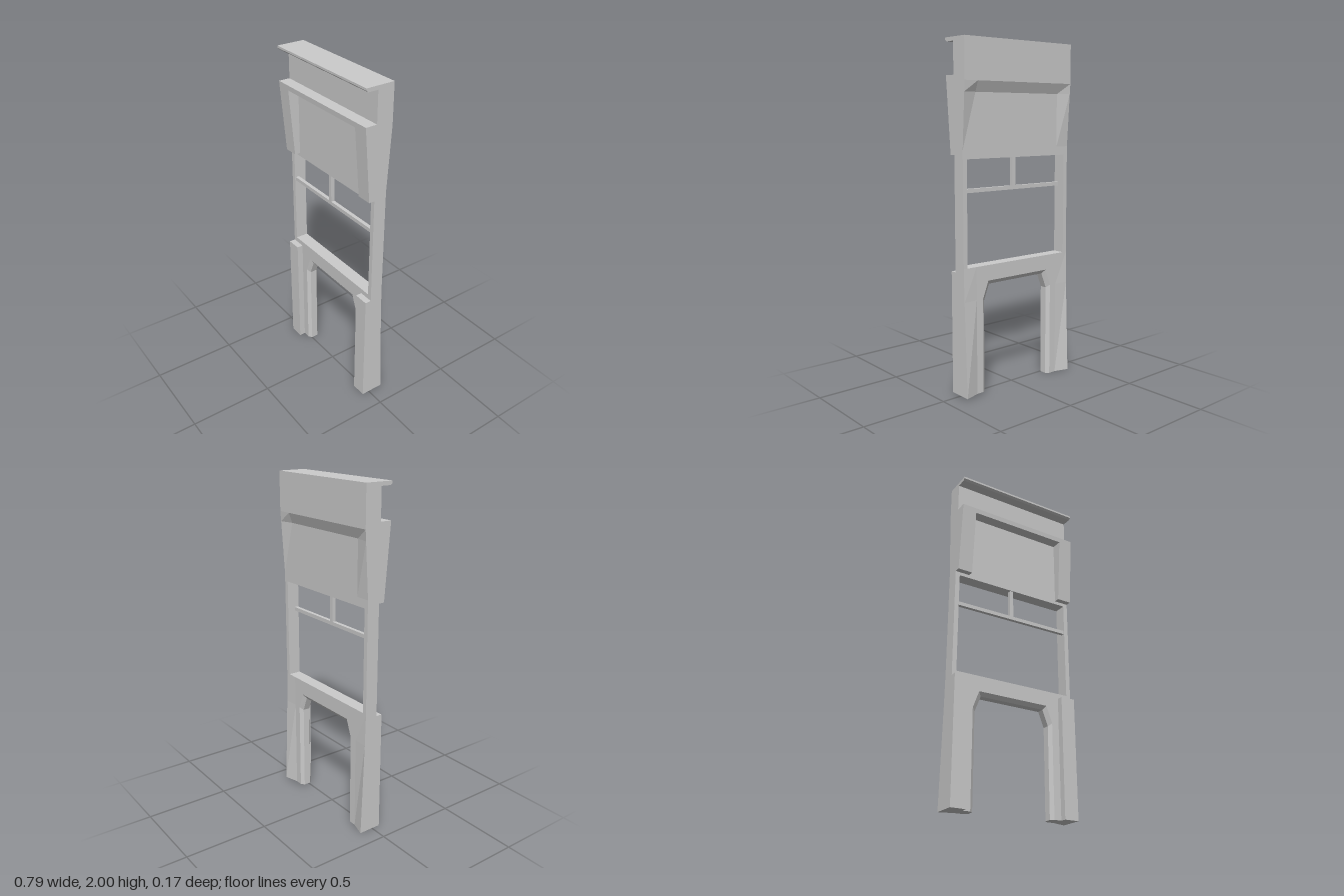
import * as THREE from 'three';

const FRONT = 0.016, BACK = -0.06, HALF = 0.394, INNER = 0.305;

export function createModel() {
  const group = new THREE.Group();
  const mat = new THREE.MeshStandardMaterial({ color: 0xcccccc, flatShading: true });
  const add = (name, geo) => {
    const mesh = new THREE.Mesh(geo, mat);
    mesh.name = name;
    group.add(mesh);
  };
  // box given by its limits
  const box = (name, x0, x1, y0, y1, z0, z1) => add(name,
    new THREE.BoxGeometry(x1 - x0, y1 - y0, z1 - z0)
      .translate((x0 + x1) / 2, (y0 + y1) / 2, (z0 + z1) / 2));
  // side profile of [z, y] points, run across from x0 to x1
  const profile = (name, pts, x0, x1) => {
    const shape = new THREE.Shape(pts.map(([z, y]) => new THREE.Vector2(z, y)));
    add(name, new THREE.ExtrudeGeometry(shape, { depth: x1 - x0, bevelEnabled: false })
      .rotateY(-Math.PI / 2).translate(x1, 0, 0));
  };

  add('archedBase', archedBase());
  add('upperWall', upperWall());

  // window frame and its bars
  box('windowBar', -0.37, 0.37, 1.16, 1.182, -0.012, 0.01);
  box('windowMullion', -0.021, 0.001, 1.18, 1.36, -0.012, 0.01);

  // mirrored side parts
  for (const s of [-1, 1]) {
    const span = (a, b) => (s > 0 ? [a, b] : [-b, -a]);
    const foot = s > 0 ? 0.012 : 0;
    box('windowJamb', ...span(0.367, HALF), 0.75, 1.35, BACK, FRONT);
    box('pilaster', ...span(INNER, HALF), foot, 0.72, FRONT - 0.01, 0.053);
    profile('headerFin', [[FRONT - 0.01, 1.37], [0.05, 1.37], [0.085, 1.8], [FRONT - 0.01, 1.8]],
      ...span(INNER, HALF));
  }

  // ledge between the fins and cornice on top
  profile('headerLedge', [[FRONT - 0.01, 1.77], [0.0826, 1.77], [0.085, 1.8], [FRONT - 0.01, 1.8]], -INNER, INNER);
  profile('cornice', [[FRONT - 0.01, 1.978], [0.076, 1.978], [0.087, 1.988], [0.087, 2], [FRONT - 0.01, 2]], -HALF, HALF);
  return group;
}

// wall above the window, its back thickened at the sides and top
function upperWall() {
  const xs = [-HALF, -INNER, INNER, HALF];
  const ys = [1.35, 1.4, 1.71, 1.77, 2];
  const sideBack = [BACK, BACK, -0.079, -0.083, -0.083];
  const midBack = [BACK, BACK, BACK, -0.083, -0.083];
  const geo = new THREE.BoxGeometry(3, 4, 1, 3, 4, 1);
  const p = geo.attributes.position;
  for (let i = 0; i < p.count; i++) {
    const c = Math.round(p.getX(i) + 1.5), r = Math.round(p.getY(i) + 2);
    const back = (c === 0 || c === 3 ? sideBack : midBack)[r];
    p.setXYZ(i, xs[c], ys[r], p.getZ(i) > 0 ? FRONT : back);
  }
  geo.computeVertexNormals();
  return geo;
}

// two legs and a lintel around a chamfered arch, lofted along the opening
function archedBase() {
  // stations: [arch edge, inner reveal, back crease, outer edge] as x, y
  const half = [
    [[0.26, 0], [0.24, 0], [INNER, 0], [HALF, 0]],
    [[0.26, 0.56], [0.24, 0.545], [INNER, 0.56], [HALF, 0.56]],
    [[0.26, 0.56], [0.24, 0.545], [INNER, 0.75], [HALF, 0.75]],
    [[0.222, 0.66], [0.204, 0.637], [INNER, 0.75], [HALF, 0.75]],
    [[0.222, 0.66], [0.204, 0.637], [0.222, 0.75], [0.222, 0.75]],
  ];
  const section = (st, s) => {
    const [a, n, k, o] = st.map(([x, y]) => [x * s, Math.max(y, s > 0 ? 0.012 : 0)]);
    const flare = BACK - 0.026 * Math.max(0, 1 - o[1] / 0.68);
    return [[...o, FRONT], [...a, FRONT], [...n, 0], [...n, -0.043],
      [...a, BACK], [...k, BACK], [...o, flare]];
  };
  const rings = [...half.map((st) => section(st, 1)),
    ...half.slice().reverse().map((st) => section(st, -1))];
  const n = 7, last = (rings.length - 1) * n, index = [];
  for (let i = 0; i < rings.length - 1; i++) {
    for (let j = 0; j < n; j++) {
      const a = i * n + j, b = i * n + (j + 1) % n;
      index.push(a, a + n, b, a + n, b + n, b);
    }
  }
  // soles of both legs
  for (let j = 6; j < 11; j++) {
    const a = j % n, b = (j + 1) % n;
    index.push(5, a, b, last + 5, last + b, last + a);
  }
  const geo = new THREE.BufferGeometry();
  geo.setAttribute('position', new THREE.Float32BufferAttribute(rings.flat(2), 3));
  geo.setIndex(index);
  geo.computeVertexNormals();
  return geo;
}
